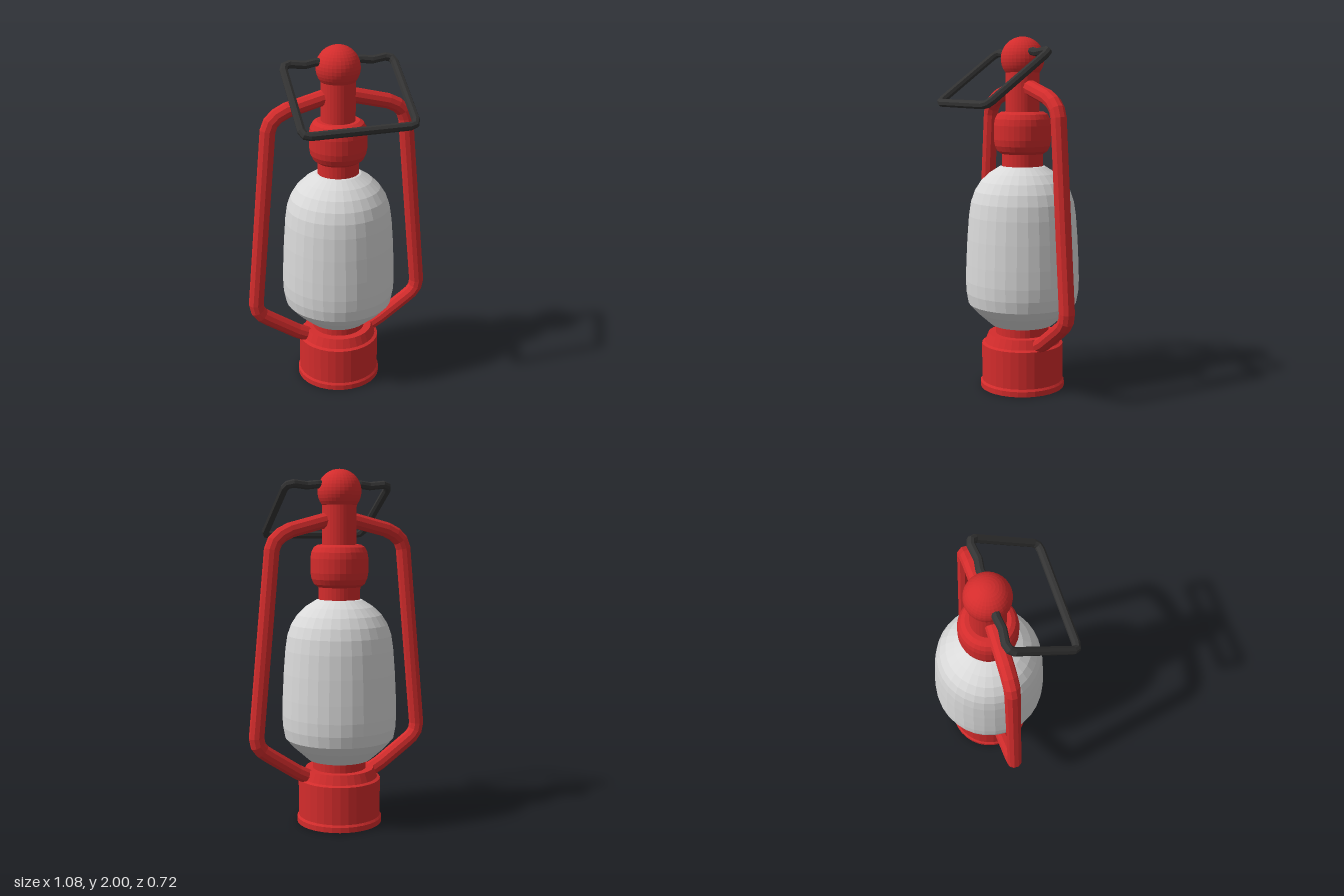
import * as THREE from 'three';

const AXIS_Z = -0.04; // the lantern body sits slightly behind centre
const V = (x, y, z) => new THREE.Vector3(x, y, z);

// Polyline with mitred corners, one tube ring per point
class BentPath extends THREE.Curve {
  constructor(points) {
    super();
    this.points = points;
  }
  getPoint(t, target = new THREE.Vector3()) {
    const n = this.points.length - 1;
    return target.copy(this.points[Math.min(n, Math.round(t * n))]);
  }
  getPointAt(t, target) {
    return this.getPoint(t, target);
  }
  getTangentAt(t, target = new THREE.Vector3()) {
    const p = this.points, n = p.length - 1, i = Math.min(n, Math.round(t * n));
    target.set(0, 0, 0);
    if (i > 0) target.add(p[i].clone().sub(p[i - 1]).normalize());
    if (i < n) target.add(p[i + 1].clone().sub(p[i]).normalize());
    return target.normalize();
  }
}

// Flat-faceted copy of a geometry
function facet(geometry) {
  const flat = geometry.toNonIndexed();
  flat.computeVertexNormals();
  return flat;
}

export function createModel() {
  const red = new THREE.MeshStandardMaterial({ color: 0xd42c2c });
  red.name = 'red enamel';
  const white = new THREE.MeshStandardMaterial({ color: 0xd9d9d9 });
  white.name = 'frosted glass';
  const black = new THREE.MeshStandardMaterial({ color: 0x343434 });
  black.name = 'dark wire';

  const model = new THREE.Group();
  model.name = 'lantern';

  function add(name, geometry, material, z = 0) {
    const mesh = new THREE.Mesh(facet(geometry), material);
    mesh.name = name;
    mesh.position.z = z;
    model.add(mesh);
  }
  const turned = (name, profile, material) => add(name,
    new THREE.LatheGeometry(profile.map(([r, y]) => new THREE.Vector2(r, y)), 32), material, AXIS_Z);
  const bent = (name, points, radius, sides, material, z = 0) => add(name,
    new THREE.TubeGeometry(new BentPath(points), points.length - 1, radius, sides), material, z);

  // Fuel base with foot rim, shoulder and burner neck
  turned('base', [[0, 0], [0.243, 0], [0.243, 0.03], [0.234, 0.042], [0.234, 0.255], [0.217, 0.263],
    [0.195, 0.315], [0.152, 0.315], [0.152, 0.4], [0, 0.4]], red);

  // Glass globe
  turned('globe', [[0.13, 0.37], [0.182, 0.37], [0.265, 0.444], [0.31, 0.495], [0.322, 0.56],
    [0.325, 0.63], [0.322, 0.73], [0.315, 0.87], [0.305, 1.0], [0.293, 1.08], [0.272, 1.14],
    [0.237, 1.195], [0.19, 1.24], [0.13, 1.278], [0.1, 1.285]], white);

  // Collar, rounded vent and chimney
  turned('collar', [[0, 1.26], [0.117, 1.26], [0.117, 1.36], [0, 1.36]], red);
  turned('vent', [[0, 1.35], [0.12, 1.35], [0.142, 1.366], [0.156, 1.395], [0.162, 1.43],
    [0.162, 1.51], [0.156, 1.545], [0.142, 1.572], [0.12, 1.585], [0, 1.585]], red);
  turned('chimney', [[0.096, 1.57], [0.096, 1.83]], red);

  // Ball cap
  const ball = new THREE.SphereGeometry(0.122, 32, 20);
  ball.translate(0, 1.878, 0);
  add('cap', ball, red, AXIS_Z);

  // Side frame tubes and the matching halves of the wire handle
  const handlePoint = (x, t) => V(x, 1.918 - 0.285 * t, -0.04 + 0.375 * t);
  for (const side of [-1, 1]) {
    const label = side > 0 ? 'left' : 'right';
    bent(label + 'Frame', [[0.03, 1.73], [0.1, 1.715], [0.29, 1.667], [0.345, 1.64], [0.382, 1.605],
      [0.4, 1.56], [0.499, 0.53], [0.49, 0.485], [0.465, 0.452], [0.425, 0.423], [0.26, 0.312], [0.17, 0.265]]
      .map(([x, y]) => V(side * x, y, 0)), 0.043, 10, red, AXIS_Z);
    bent(label + 'Handle', [[0.06, 0.02], [0.13, 0.01], [0.19, 0.035], [0.27, 0.005], [0.3, 0.03],
      [0.311, 0.09], [0.311, 0.92], [0.3, 0.98], [0.27, 1], [0, 1]]
      .map(([x, t]) => handlePoint(side * x, t)), 0.023, 8, black);
  }
  return model;
}
